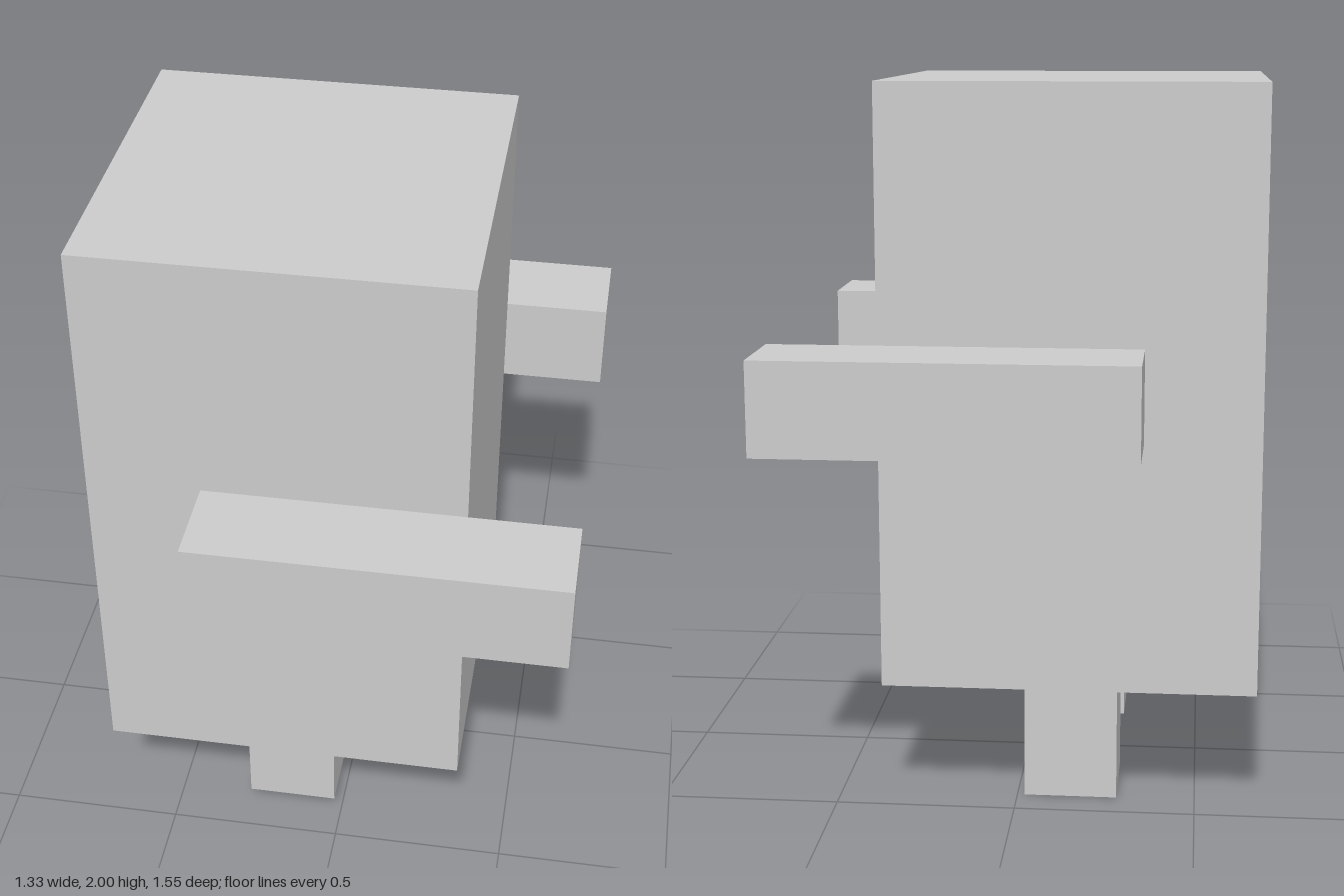
import * as THREE from 'three';

export function createModel() {
  const model = new THREE.Group();
  const material = new THREE.MeshStandardMaterial({ color: 0xcccccc, flatShading: true });

  // Box given by its extents along each axis
  function block(name, [x0, x1], [y0, y1], [z0, z1]) {
    const mesh = new THREE.Mesh(new THREE.BoxGeometry(x1 - x0, y1 - y0, z1 - z0), material);
    mesh.name = name;
    mesh.position.set((x0 + x1) / 2, (y0 + y1) / 2, (z0 + z1) / 2);
    model.add(mesh);
  }

  // Tall body
  block('body', [-0.665, 0.365], [0.355, 2], [-0.517, 0.517]);

  // Arms on both sides, reaching out towards +x
  block('frontArm', [-0.35, 0.663], [1.05, 1.306], [0.52, 0.776]);
  block('backArm', [-0.35, 0.663], [1.05, 1.306], [-0.776, -0.52]);

  // Legs, one slightly raised
  block('frontLeg', [-0.28, -0.02], [0.048, 0.355], [0.146, 0.402]);
  block('backLeg', [-0.28, -0.02], [0, 0.355], [-0.4, -0.144]);

  return model;
}
